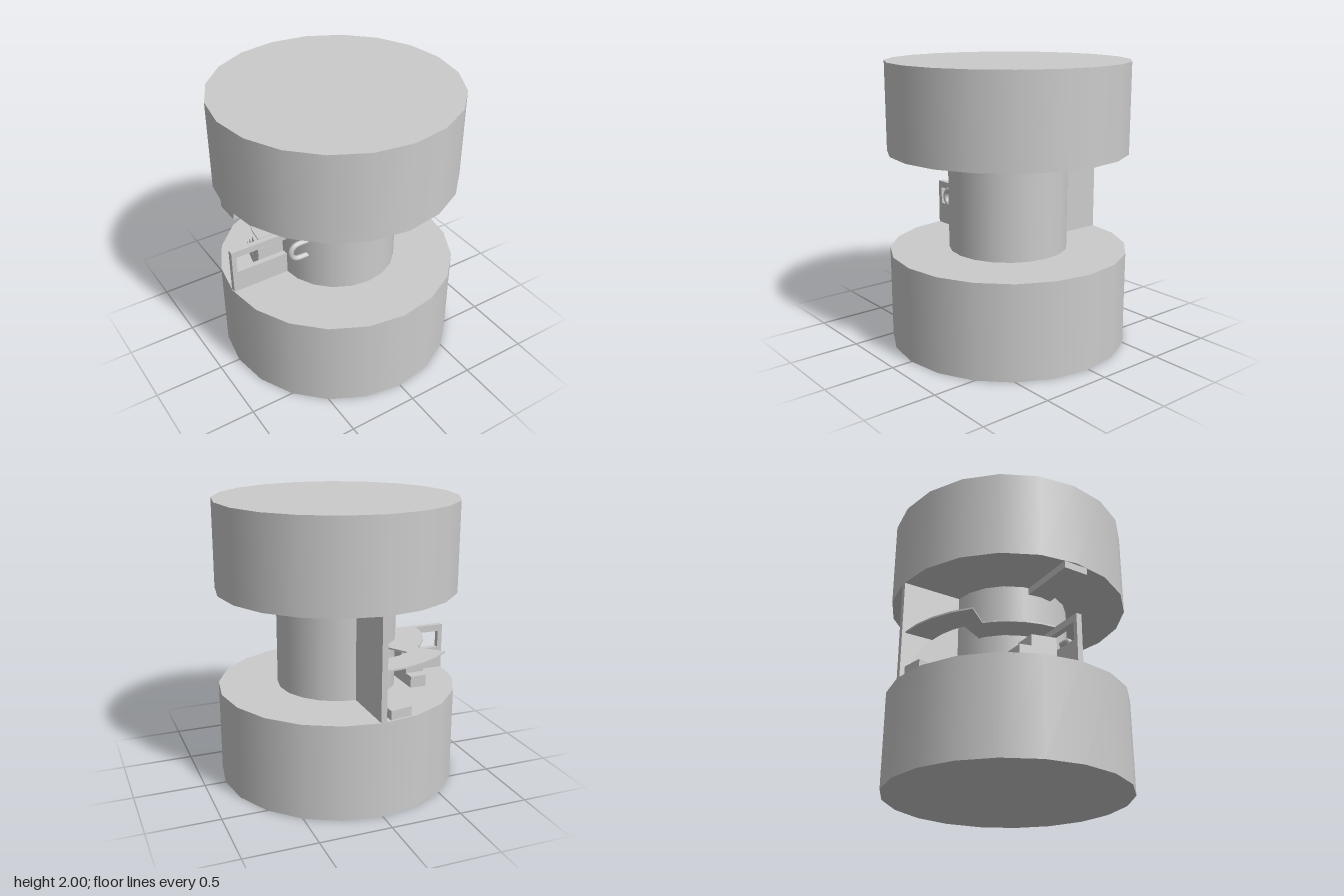
import * as THREE from 'three';

const material = new THREE.MeshStandardMaterial({ color: 0xcccccc });

function add(group, name, geometry, x = 0, y = 0, z = 0) {
  const mesh = new THREE.Mesh(geometry, material);
  mesh.name = name;
  mesh.position.set(x, y, z);
  group.add(mesh);
  return mesh;
}

// Upright solid from a floor plan given as [x, z] points
function slab(plan, height) {
  const shape = new THREE.Shape(plan.map(([x, z]) => new THREE.Vector2(x, -z)));
  const geometry = new THREE.ExtrudeGeometry(shape, { depth: height, bevelEnabled: false });
  return geometry.rotateX(-Math.PI / 2);
}

// Floor plan of a ring sector; angles in degrees from the back towards -x
function sector(inner, outer, from, to, steps) {
  const arc = (r) => Array.from({ length: steps + 1 }, (_, i) => {
    const a = THREE.MathUtils.degToRad(from + (to - from) * i / steps);
    return [-r * Math.sin(a), -r * Math.cos(a)];
  });
  return [...arc(inner), ...arc(outer).reverse()];
}

export function createModel() {
  const model = new THREE.Group();
  model.name = 'drumTower';
  const floor = 0.67, ceiling = 1.375;

  // Two drums joined by a column
  add(model, 'lowerDrum', new THREE.CylinderGeometry(0.85, 0.85, floor, 20), 0, floor / 2, 0);
  add(model, 'upperDrum', new THREE.CylinderGeometry(0.85, 0.85, 2 - ceiling, 20), 0, (2 + ceiling) / 2, 0);
  add(model, 'column', new THREE.CylinderGeometry(0.425, 0.425, ceiling - floor, 20), 0, (floor + ceiling) / 2, 0);

  // Full-height partition at the back
  add(model, 'partitionWall', new THREE.BoxGeometry(0.04, ceiling - floor, 0.445), 0, (floor + ceiling) / 2, -0.6225);

  // Low wall with an open window, on the -x side
  const wall = new THREE.Shape();
  wall.moveTo(-0.845, floor).lineTo(-0.4, floor).lineTo(-0.4, 1.005).lineTo(-0.845, 1.005).closePath();
  const opening = new THREE.Path();
  opening.moveTo(-0.81, 0.83).lineTo(-0.81, 0.955).lineTo(-0.415, 0.955).lineTo(-0.415, 0.83).closePath();
  wall.holes.push(opening);
  add(model, 'windowWall', new THREE.ExtrudeGeometry(wall, { depth: 0.04, bevelEnabled: false }), 0, 0, -0.02);

  // Beam under the upper drum, above the low wall
  add(model, 'lintel', new THREE.BoxGeometry(0.435, 0.05, 0.18), -0.6175, 1.35, 0);

  // Staircase leading up to the low wall
  const stairs = new THREE.Group();
  stairs.name = 'stairs';
  model.add(stairs);
  [-0.35, -0.27, -0.19].forEach((front, i) => {
    const plan = [[-0.43, -0.02], [-0.625, -0.02], [-0.625 - front * 0.22, front], [-0.43, front]];
    add(stairs, 'step', slab(plan, 0.083 * (i + 1)), 0, floor, 0);
  });

  // Two overlapping curved walkways and a low starting step
  add(model, 'outerWalkway', slab(sector(0.62, 0.82, 1.4, 42, 4), 0.012), 0, 0.998, 0);
  add(model, 'innerWalkway', slab(sector(0.42, 0.62, 30, 88, 6), 0.012), 0, 0.998, 0);
  add(model, 'startStep', slab(sector(0.62, 0.83, 4, 15, 1), 0.065), 0, floor, 0);

  // U-shaped handle set into the column
  const points = [new THREE.Vector3(-0.35, 1.03, 0.2)];
  for (let i = 0; i <= 8; i++) {
    const a = Math.PI / 2 + Math.PI * i / 8;
    points.push(new THREE.Vector3(-0.43 + 0.058 * Math.cos(a), 0.972 + 0.058 * Math.sin(a), 0.2));
  }
  points.push(new THREE.Vector3(-0.35, 0.914, 0.2));
  add(model, 'handle', new THREE.TubeGeometry(new THREE.CatmullRomCurve3(points), 32, 0.02, 10));

  return model;
}
